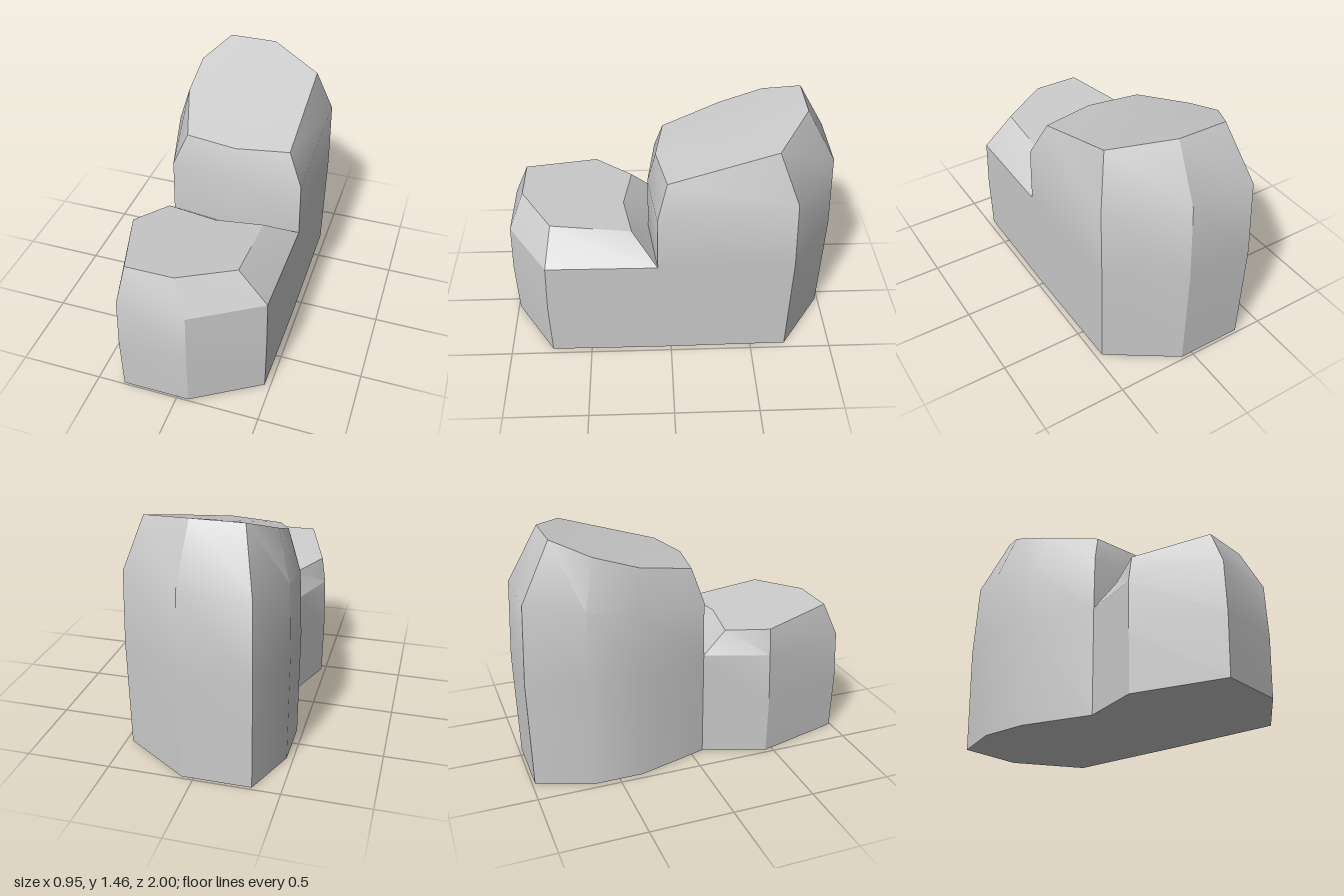
import * as THREE from 'three';
import { toCreasedNormals } from 'three/addons/utils/BufferGeometryUtils.js';

const SEAM_Y = 0.66;

// Lofts rings (clockwise seen from above) into a capped solid.
// Segments listed in "joined" are left open below the seam, where the two blocks meet.
function loft(rings, joined) {
  const pos = [];
  const tri = (...pts) => pts.forEach((p) => pos.push(...p));
  const n = rings[0].length;
  const centre = (ring) => [0, 1, 2].map((k) => ring.reduce((s, p) => s + p[k], 0) / n);
  const top = rings[rings.length - 1];
  const low = centre(rings[0]);
  const high = centre(top);
  for (let i = 0; i < n; i++) {
    const j = (i + 1) % n;
    for (let r = 0; r < rings.length - 1; r++) {
      const a = rings[r], b = rings[r + 1];
      if (joined.includes(i) && b[i][1] <= SEAM_Y) continue;
      tri(a[i], b[i], b[j]);
      tri(a[i], b[j], a[j]);
    }
    tri(low, rings[0][i], rings[0][j]);
    tri(high, top[j], top[i]);
  }
  const geo = new THREE.BufferGeometry();
  geo.setAttribute('position', new THREE.Float32BufferAttribute(pos, 3));
  return toCreasedNormals(geo, 0.5);
}

// Footprint at height y, slightly bulged; the shared waist points stay fixed.
function ringAt(outline, y, scale) {
  return outline.map(([x, z]) => {
    const s = z > 0 && z < 0.2 ? 1 : scale;
    return [x * s, y, z * s];
  });
}

export function createModel() {
  const group = new THREE.Group();
  group.name = 'steppedBlock';
  const material = new THREE.MeshStandardMaterial({ color: 0xcccccc });
  const add = (name, rings, joined) => {
    const mesh = new THREE.Mesh(loft(rings, joined), material);
    mesh.name = name;
    group.add(mesh);
  };

  // Low front block with a bevelled, gently sloping top
  const front = [[-0.34, 0.08], [0.06, 0.13], [0.47, 0.08], [0.47, 0.75],
    [0.07, 1], [-0.34, 1], [-0.48, 0.46]];
  add('frontBlock', [
    ringAt(front, 0, 0.99),
    ringAt(front, 0.35, 1),
    ringAt(front, SEAM_Y, 0.988),
    [[-0.31, 0.79, 0.23], [0, 0.795, 0.28], [0.285, 0.79, 0.23], [0.285, 0.845, 0.71],
      [-0.02, 0.865, 0.9], [-0.31, 0.865, 0.9], [-0.45, 0.82, 0.46]],
  ], [0, 1]);

  // Tall back block, tapering to a top that slopes down to the front
  const back = [[-0.34, -1], [0.07, -1], [0.47, -0.73], [0.47, 0.08],
    [0.06, 0.13], [-0.34, 0.08], [-0.47, -0.36], [-0.47, -0.67]];
  add('backBlock', [
    ringAt(back, 0, 0.983),
    ringAt(back, SEAM_Y, 1),
    [[-0.33, 1.13, -0.98], [0.07, 1.13, -0.98], [0.465, 1.09, -0.715], [0.465, 1, 0.08],
      [0.06, 1, 0.13], [-0.335, 1, 0.08], [-0.455, 1.04, -0.36], [-0.455, 1.09, -0.66]],
    [[-0.25, 1.455, -0.8], [0.05, 1.455, -0.8], [0.375, 1.385, -0.6], [0.375, 1.19, 0.02],
      [0.06, 1.19, 0.08], [-0.255, 1.19, 0.03], [-0.375, 1.28, -0.33], [-0.375, 1.37, -0.59]],
  ], [3, 4]);

  return group;
}
